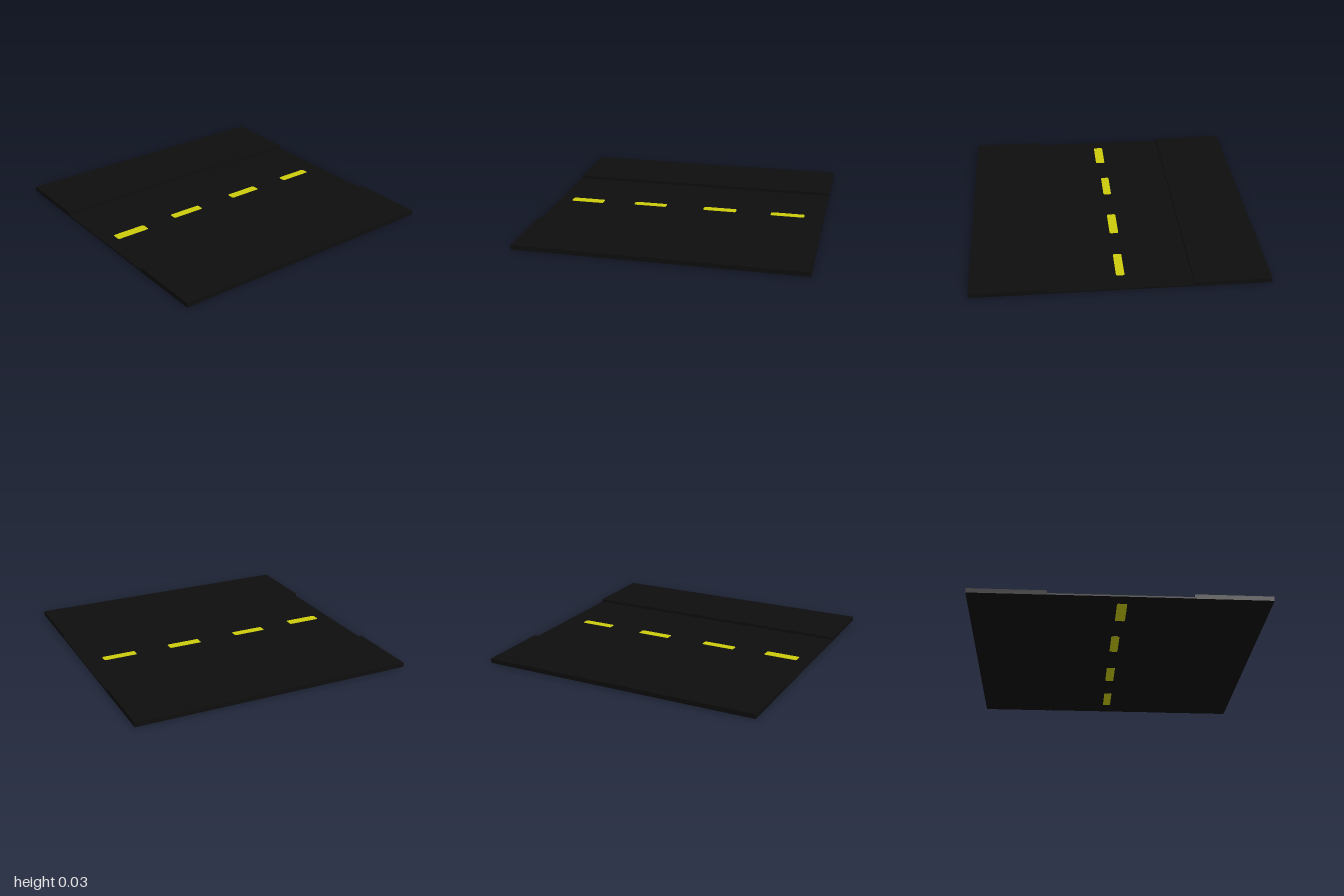
import * as THREE from 'three';

const asphalt = new THREE.MeshStandardMaterial({ color: 0x0e0e0e });
asphalt.name = 'asphalt';
const yellowPaint = new THREE.MeshStandardMaterial({ color: 0xcccc0c });
yellowPaint.name = 'yellowPaint';

// Box given by its lower and upper bounds in y and z, spanning the full width
function slab(name, y0, y1, z0, z1) {
  const mesh = new THREE.Mesh(new THREE.BoxGeometry(2, y1 - y0, z1 - z0), asphalt);
  mesh.position.set(0, (y0 + y1) / 2, (z0 + z1) / 2);
  mesh.name = name;
  return mesh;
}

// Flat bar with small rounded corners, lying in the xz plane
function dashGeometry(length, width, height, r) {
  const x = length / 2, y = width / 2;
  const s = new THREE.Shape();
  s.moveTo(-x + r, -y);
  s.lineTo(x - r, -y);
  s.quadraticCurveTo(x, -y, x, -y + r);
  s.lineTo(x, y - r);
  s.quadraticCurveTo(x, y, x - r, y);
  s.lineTo(-x + r, y);
  s.quadraticCurveTo(-x, y, -x, y - r);
  s.lineTo(-x, -y + r);
  s.quadraticCurveTo(-x, -y, -x + r, -y);
  return new THREE.ExtrudeGeometry(s, { depth: height, bevelEnabled: false, curveSegments: 3 })
    .rotateX(-Math.PI / 2);
}

export function createModel() {
  const group = new THREE.Group();
  group.name = 'roadSection';

  // Sunken roadway between two raised pavements
  group.add(slab('roadway', 0.001, 0.012, -0.48, 0.48));
  group.add(slab('frontPavement', 0, 0.032, 0.48, 1));
  group.add(slab('backPavement', 0, 0.032, -1, -0.48));

  // Centre line dashes, set right through the roadway: x, z, width
  const dashes = [
    [-0.78, 0.012, 0.068],
    [-0.296, -0.004, 0.058],
    [0.233, -0.007, 0.062],
    [0.735, -0.004, 0.058],
  ];
  dashes.forEach(([x, z, width], i) => {
    const dash = new THREE.Mesh(dashGeometry(0.245, width, 0.014, 0.012), yellowPaint);
    dash.position.set(x, 0, z);
    dash.name = `centreDash${i + 1}`;
    group.add(dash);
  });

  return group;
}
